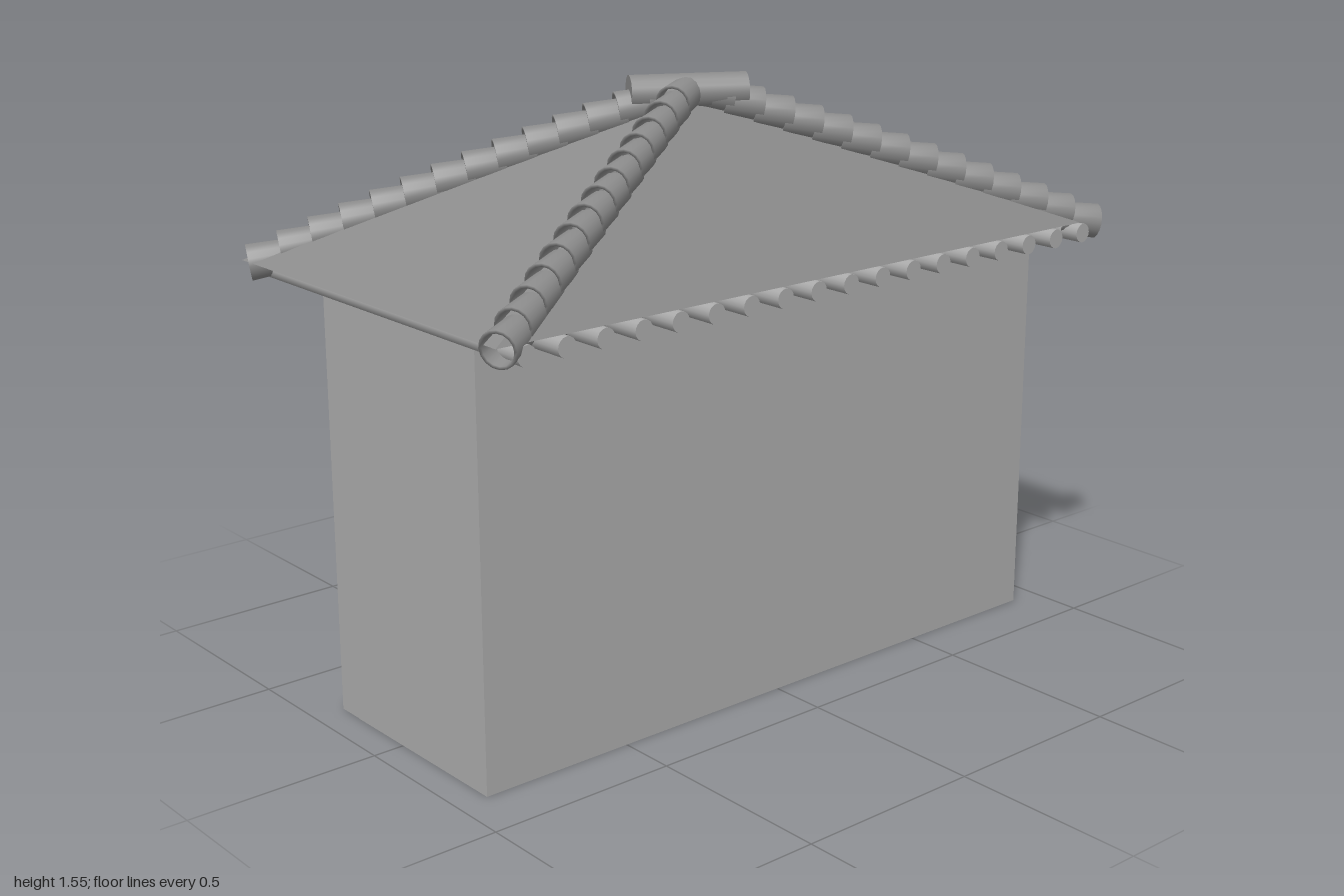
import * as THREE from 'three';

export function createModel() {
  const group = new THREE.Group();
  const plain = new THREE.MeshStandardMaterial({ color: 0xababab });
  const tiled = new THREE.MeshStandardMaterial({ color: 0x8c8c8c, side: THREE.DoubleSide });

  const add = (name, geometry, material = plain) => {
    const mesh = new THREE.Mesh(geometry, material);
    mesh.name = name;
    group.add(mesh);
    return mesh;
  };
  // Box given by its extents on each axis
  const box = (name, x0, x1, y0, y1, z0, z1) =>
    add(name, new THREE.BoxGeometry(x1 - x0, y1 - y0, z1 - z0))
      .position.set((x0 + x1) / 2, (y0 + y1) / 2, (z0 + z1) / 2);

  // Building body
  box('body', -0.917, 0.915, 0, 1.09, -0.2, 0.35);

  // Posts along the door side
  for (const s of [-1, 1]) {
    box('cornerPost', s * 0.891 - 0.025, s * 0.891 + 0.025, 0, 1.09, -0.275, -0.19);
    box('doorPost', s * 0.51 - 0.033, s * 0.51 + 0.033, 0.03, 1.09, -0.29, -0.19);
  }

  // Double door with raised window panels, lintel and threshold
  box('lintel', -0.48, 0.48, 0.95, 1.0, -0.235, -0.19);
  box('threshold', -0.48, 0.48, 0.02, 0.05, -0.22, -0.19);
  for (const s of [-1, 1]) {
    box('door', s * 0.235 - 0.233, s * 0.235 + 0.233, 0.05, 0.93, -0.21, -0.19);
    box('windowPanel', s * 0.122 - 0.12, s * 0.122 + 0.12, 0.18, 0.635, -0.25, -0.19);
  }

  // Hip roof: a box whose top corners meet at the peak, keeping the box's upright shading
  const roof = new THREE.BoxGeometry(1.965, 0.37, 1.06);
  const corner = roof.attributes.position;
  for (let i = 0; i < corner.count; i++) {
    if (corner.getY(i) > 0) corner.setXYZ(i, 0, 0.185, 0);
  }
  add('roof', roof).position.set(-0.005, 1.315, 0);

  // Round rafters under the eaves
  const rafter = new THREE.CylinderGeometry(0.025, 0.025, 1.09, 16).rotateX(Math.PI / 2);
  for (let i = 0; i < 18; i++) add('rafter', rafter).position.set(-0.917 + i * 0.1067, 1.105, 0);

  // Purlins carrying the rafters
  const purlin = new THREE.CylinderGeometry(0.02, 0.02, 1.8, 12).rotateZ(Math.PI / 2);
  for (const z of [-0.42, 0.42]) add('purlin', purlin, tiled).position.set(0, 1.108, z);

  // Hollow ridge tile, axis along +x, wider at its lower end
  const profile = [[0.034, -0.05], [0.041, -0.05], [0.046, 0.05], [0.038, 0.05], [0.034, -0.05]];
  const hipTile = new THREE.LatheGeometry(profile.map(p => new THREE.Vector2(...p)), 16).rotateZ(-Math.PI / 2);

  // Stepped tile rows running down the four hips
  const count = 14;
  for (const sx of [-1, 1]) for (const sz of [-1, 1]) {
    const hip = new THREE.Group();
    hip.name = 'hipTiles';
    hip.rotation.y = Math.atan2(-sz * 0.515, sx * 0.965);
    for (let i = 0; i < count; i++) {
      const t = i / (count - 1);
      const mesh = new THREE.Mesh(hipTile, tiled);
      mesh.name = 'hipTile';
      mesh.position.set(0.06 + t * 0.995, 1.5 - t * 0.369 + 0.04 * t * (1 - t), 0);
      mesh.rotation.z = -0.15;
      hip.add(mesh);
    }
    group.add(hip);
  }

  // Level cap tile across the peak
  const cap = add('capTile', new THREE.CylinderGeometry(0.045, 0.045, 0.3, 16).rotateZ(Math.PI / 2), tiled);
  cap.position.set(-0.005, 1.508, 0);
  cap.rotation.y = -Math.atan2(0.515, 0.965);

  return group;
}
